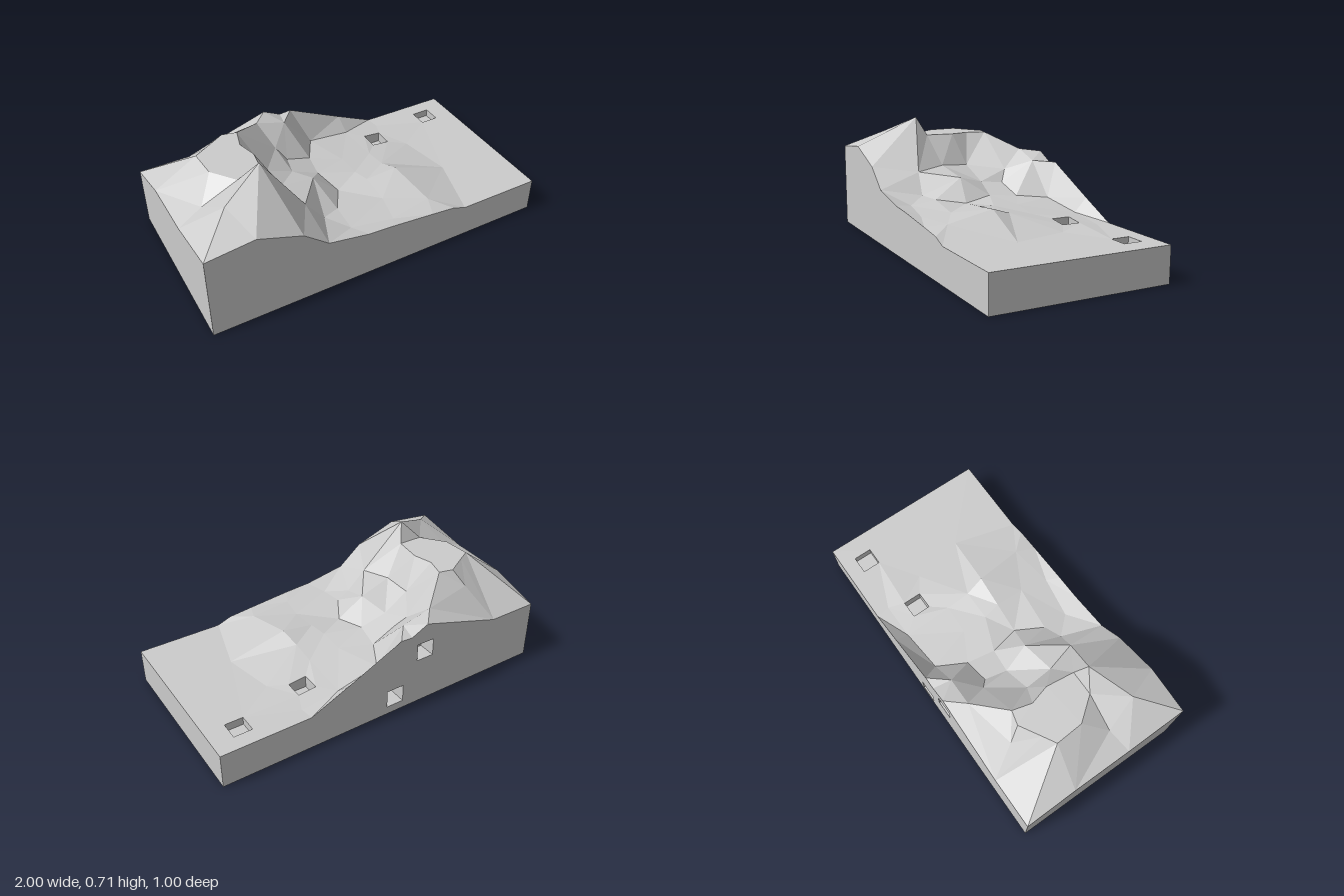
import * as THREE from 'three';

// Height profiles along the four cut sides: [distance along side, height]
const frontEdge = [[-1, .5], [-.73, .53], [-.48, .44], [-.34, .325], [-.1, .28], [.05, .27], [.3, .245], [.44, .23], [.52, .2], [1, .2]];
const backEdge = [[-1, .35], [-.71, .35], [-.23, .5], [-.13, .45], [-.06, .455], [.27, .3], [.49, .2], [1, .2]];
const leftEdge = [[-.5, .35], [-.2, .43], [.15, .44], [.5, .5]];
const rightEdge = [[-.5, .2], [.5, .2]];

// Inner landmarks: [x, z, height]
const summit = [[-.56, .185, .71], [-.8, .3, .61], [-.86, .12, .5], [-.35, .26, .41]];
const plateau = [[-.77, -.16], [-.7, -.2], [-.58, -.27], [-.5, -.25], [-.53, -.14], [-.5, -.03], [-.52, .13], [-.66, .13], [-.76, 0]]
  .map(([x, z]) => [x, z, .602]);
const ridges = [[-.62, -.34, .52], [-.32, -.4, .51], [-.15, -.395, .46], [-.27, -.27, .4], [-.22, -.225, .33],
  [-.41, -.08, .42], [-.25, -.1, .34], [-.4, .085, .43], [-.2, .06, .385]];
const lowland = [[-.07, -.24, .275], [-.06, .09, .262], [-.25, .28, .29], [-.15, .24, .28], [-.15, .39, .26], [.09, .43, .25],
  [-.1, -.08, .285], [.1, -.15, .262], [.1, 0, .27], [.12, .1, .28], [.28, -.14, .245], [.28, 0, .265],
  [.3, .11, .302], [.34, .39, .258], [.12, .27, .262], [.62, .14, .2], [.56, -.16, .203],
  [.02, -.4, .265], [.28, -.42, .225], [.5, -.42, .2]];

// Square pits in the ground: rim heights on the low-x and high-x sides
const pits = [{ x: .41, z: -.275, low: .225, high: .214 }, { x: .83, z: -.36, low: .2, high: .2 }];
// Square recesses in the back wall
const recesses = [{ x: -.225, y: .335 }, { x: -.036, y: .1 }];
const S = .052, PIT_FLOOR = .155, RECESS_DEPTH = .1;

// Delaunay triangulation in plan
function triangulate(points) {
  const n = points.length;
  const p = [...points, [-90, -80], [90, -81], [1, 120]];
  const circle = (a, b, c) => {
    const [ax, ay] = p[a], bx = p[b][0] - ax, by = p[b][1] - ay, cx = p[c][0] - ax, cy = p[c][1] - ay;
    const d = 2 * (bx * cy - by * cx), B = bx * bx + by * by, C = cx * cx + cy * cy;
    const ux = (cy * B - by * C) / d, uy = (bx * C - cx * B) / d;
    return { v: [a, b, c], x: ax + ux, y: ay + uy, r: ux * ux + uy * uy };
  };
  let tris = [circle(n, n + 1, n + 2)];
  for (let i = 0; i < n; i++) {
    const edges = new Map();
    tris = tris.filter((t) => {
      if ((p[i][0] - t.x) ** 2 + (p[i][1] - t.y) ** 2 >= t.r - 1e-9) return true;
      t.v.forEach((a, k) => {
        const b = t.v[(k + 1) % 3], key = Math.min(a, b) + '_' + Math.max(a, b);
        if (edges.has(key)) edges.delete(key); else edges.set(key, [a, b]);
      });
      return false;
    });
    for (const [a, b] of edges.values()) {
      const area = (p[b][0] - p[a][0]) * (p[i][1] - p[a][1]) - (p[b][1] - p[a][1]) * (p[i][0] - p[a][0]);
      if (Math.abs(area) > 1e-10) tris.push(circle(a, b, i));
    }
  }
  return tris.map((t) => t.v).filter((v) => v.every((k) => k < n));
}

function terrainGeometry() {
  const pts = [
    ...frontEdge.map(([x, h]) => [x, .5, h]), ...backEdge.map(([x, h]) => [x, -.5, h]),
    ...leftEdge.slice(1, -1).map(([z, h]) => [-1, z, h]),
    ...summit, ...plateau, ...ridges, ...lowland,
  ];
  for (const { x, z, low, high } of pits)
    pts.push([x - S, z - S, low], [x + S, z - S, high], [x - S, z + S, low], [x + S, z + S, high]);
  const pos = [];
  for (const v of triangulate(pts)) {
    const [a, b, c] = v.map((k) => pts[k]);
    const cx = (a[0] + b[0] + c[0]) / 3, cz = (a[1] + b[1] + c[1]) / 3;
    if (pits.some((q) => Math.abs(cx - q.x) < S && Math.abs(cz - q.z) < S)) continue;
    const turn = (b[0] - a[0]) * (c[1] - a[1]) - (b[1] - a[1]) * (c[0] - a[0]);
    for (const q of turn < 0 ? [a, b, c] : [a, c, b]) pos.push(q[0], q[2], q[1]);
  }
  const g = new THREE.BufferGeometry();
  g.setAttribute('position', new THREE.Float32BufferAttribute(pos, 3));
  g.computeVertexNormals();
  return g;
}

// Cut side: profile closed down to the ground, with optional square openings
function wallGeometry(profile, openings = []) {
  const first = profile[0], last = profile[profile.length - 1];
  const shape = new THREE.Shape([[first[0], 0], [last[0], 0], ...[...profile].reverse()].map(([u, h]) => new THREE.Vector2(u, h)));
  for (const { x, y } of openings)
    shape.holes.push(new THREE.Path([[-S, -S], [-S, S], [S, S], [S, -S]].map(([u, v]) => new THREE.Vector2(x + u, y + v))));
  return new THREE.ShapeGeometry(shape);
}

// Inward-facing box with one side left open
function cavityGeometry(w, h, d, openFace) {
  const box = new THREE.BoxGeometry(w, h, d);
  const idx = Array.from(box.index.array);
  idx.splice(openFace * 6, 6);
  box.setIndex(idx.reverse());
  const g = box.toNonIndexed();
  g.computeVertexNormals();
  return g;
}

export function createModel() {
  const model = new THREE.Group();
  model.name = 'terrainBlock';
  const material = new THREE.MeshStandardMaterial({ color: 0xcccccc, flatShading: true });
  const wallMaterial = new THREE.MeshStandardMaterial({ color: 0xcccccc, flatShading: true, side: THREE.DoubleSide });
  const add = (name, geometry, mat = material) => {
    const mesh = new THREE.Mesh(geometry, mat);
    mesh.name = name;
    model.add(mesh);
    return mesh;
  };

  add('terrain', terrainGeometry());

  // Cut sides and underside
  add('frontWall', wallGeometry(frontEdge), wallMaterial).position.z = .5;
  add('backWall', wallGeometry(backEdge, recesses), wallMaterial).position.z = -.5;
  for (const [name, edge, x] of [['rightWall', leftEdge, -1], ['leftWall', rightEdge, 1]]) {
    const wall = add(name, wallGeometry(edge), wallMaterial);
    wall.rotation.y = -Math.PI / 2;
    wall.position.x = x;
  }
  add('underside', new THREE.PlaneGeometry(2, 1).rotateX(Math.PI / 2));

  // Pits in the ground, their rims following the slope
  for (const { x, z, low, high } of pits) {
    const g = cavityGeometry(2 * S, .1, 2 * S, 2);
    const p = g.attributes.position;
    for (let i = 0; i < p.count; i++)
      p.setY(i, p.getY(i) < 0 ? PIT_FLOOR : p.getX(i) < 0 ? low : high);
    add('groundPit', g).position.set(x, 0, z);
  }

  // Recesses in the back wall
  for (const { x, y } of recesses)
    add('wallRecess', cavityGeometry(2 * S, 2 * S, RECESS_DEPTH, 5)).position.set(x, y, -.5 + RECESS_DEPTH / 2);

  return model;
}
